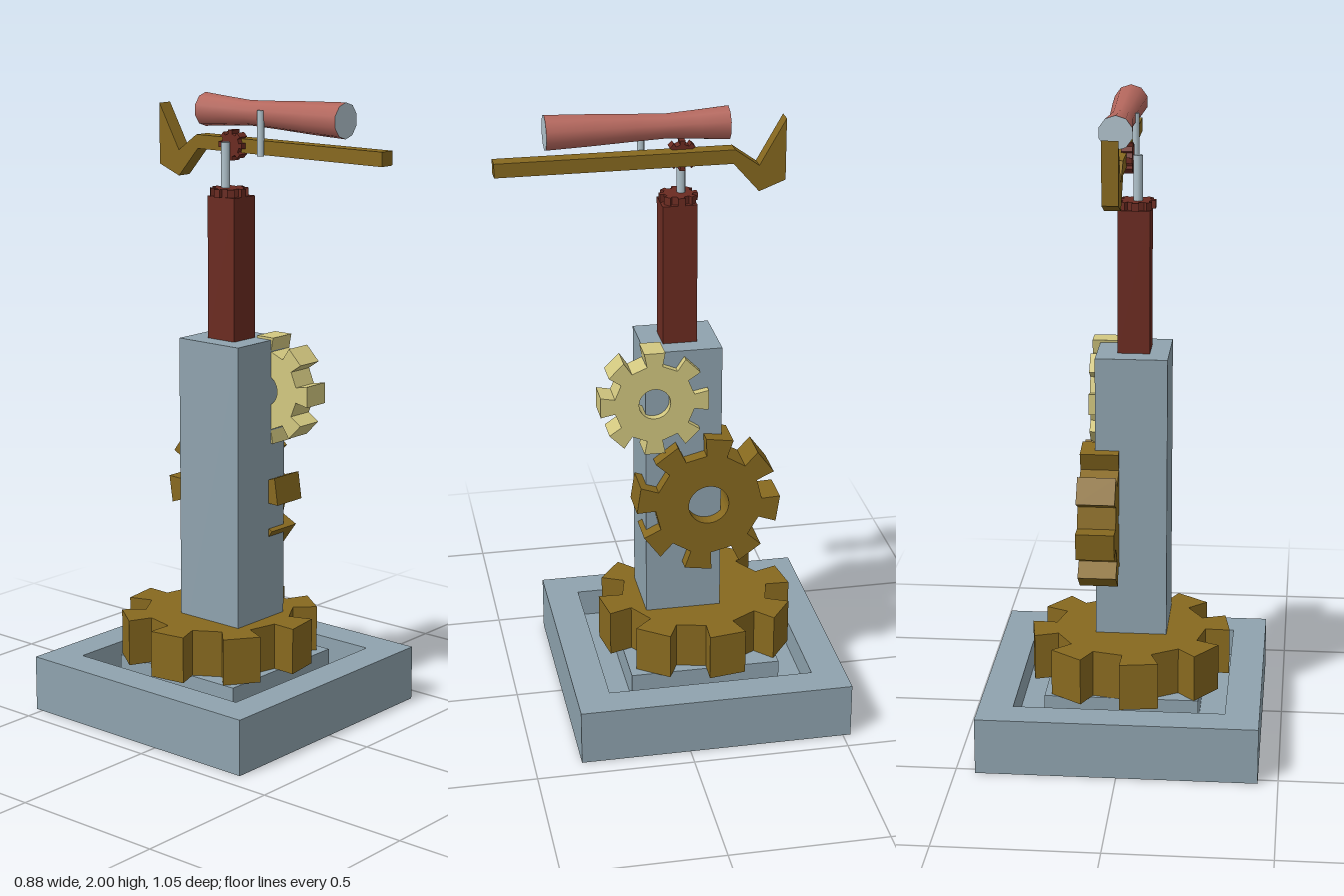
import * as THREE from 'three';

export function createModel() {
  const group = new THREE.Group();
  const material = (name, color) => {
    const m = new THREE.MeshStandardMaterial({ color });
    m.name = name;
    return m;
  };
  const steel = material('blue grey steel', 0x8fa3ae);
  const lensGrey = material('pale grey', 0xb2c4cd);
  const gold = material('dark gold', 0x87691f);
  const brass = material('pale brass', 0xd3c880);
  const rust = material('dark red', 0x6b2b21);
  const rose = material('dusty red', 0xb4675d);

  const add = (name, geometry, mat, x = 0, y = 0, z = 0) => {
    const mesh = new THREE.Mesh(geometry, mat);
    mesh.name = name;
    mesh.position.set(x, y, z);
    group.add(mesh);
    return mesh;
  };
  // Box given by its two opposite corners
  const box = (name, mat, [x0, y0, z0], [x1, y1, z1]) =>
    add(name, new THREE.BoxGeometry(x1 - x0, y1 - y0, z1 - z0), mat,
      (x0 + x1) / 2, (y0 + y1) / 2, (z0 + z1) / 2);
  const extrude = (shape, depth) =>
    new THREE.ExtrudeGeometry(shape, { depth, bevelEnabled: false, curveSegments: 16 });

  // Eight-toothed wheel with radial tooth sides
  function gear(radius, root, hole, depth, phaseDegrees) {
    const points = [];
    const half = THREE.MathUtils.degToRad(11);
    for (let i = 0; i < 8; i++) {
      const a = THREE.MathUtils.degToRad(phaseDegrees) + i * Math.PI / 4;
      for (const [r, t] of [[root, -half], [radius, -half], [radius, half], [root, half]]) {
        points.push(new THREE.Vector2(r * Math.cos(a + t), r * Math.sin(a + t)));
      }
    }
    const shape = new THREE.Shape(points);
    if (hole) shape.holes.push(new THREE.Path().absarc(0, 0, hole, 0, Math.PI * 2, true));
    return extrude(shape, depth);
  }
  const flatGear = (...args) => gear(...args).rotateX(-Math.PI / 2);
  const sideGear = (...args) => gear(...args).rotateY(Math.PI / 2);

  // Base: square slab with a square groove around a centre platform
  const square = (h) => [[-h, -h], [h, -h], [h, h], [-h, h]].map(([x, y]) => new THREE.Vector2(x, y));
  const cz = -0.0875;
  box('baseSlab', steel, [-0.4375, 0, cz - 0.4375], [0.4375, 0.09, cz + 0.4375]);
  const rim = new THREE.Shape(square(0.4375));
  rim.holes.push(new THREE.Path(square(0.33)));
  add('baseRim', extrude(rim, 0.09).rotateX(-Math.PI / 2), steel, 0, 0.09, cz);
  box('basePlatform', steel, [-0.242, 0.09, cz - 0.242], [0.242, 0.18, cz + 0.242]);

  // Turning wheel, column and the two wheels on its side
  add('turntableGear', flatGear(0.318, 0.24, 0, 0.15, 98.9), gold, -0.0125, 0.181, -0.1);
  box('column', steel, [-0.13, 0.18, -0.163], [0.095, 1.24, 0.08]);
  add('largeSideGear', sideGear(0.232, 0.172, 0.065, 0.12, 81.5), gold, 0.02, 0.72, -0.115);
  add('smallSideGear', sideGear(0.174, 0.128, 0.05, 0.09, 90), brass, 0.03, 1.077, 0.055);

  // Upper mast with its collar and post
  box('mast', rust, [-0.07, 1.24, -0.095], [0.03, 1.69, 0.013]);
  add('mastCollar', flatGear(0.06, 0.046, 0, 0.025, 0), rust, -0.025, 1.69, -0.045);
  add('post', new THREE.CylinderGeometry(0.014, 0.014, 0.145, 8), lensGrey, -0.03, 1.783, -0.055);
  add('pivotGear', sideGear(0.048, 0.036, 0, 0.035, 90), rust, -0.015, 1.845, -0.05);

  // Aiming bar with a hooked rear end
  const outline = [[-0.525, 1.822], [0.2, 1.822], [0.28, 1.73], [0.362, 1.762],
    [0.362, 1.955], [0.28, 1.812], [0.205, 1.866], [-0.525, 1.866]];
  const bar = new THREE.Shape(outline.map(([x, y]) => new THREE.Vector2(x, y)));
  add('aimingBar', extrude(bar, 0.05).rotateY(Math.PI / 2), gold, 0.003, 0, 0);

  // Waisted sighting tube, pale at both ends, with its bracket
  const tubeProfile = [[0.053, -0.187], [0.046, -0.1], [0.039, 0], [0.043, 0.1], [0.05, 0.24], [0.055, 0.37]];
  const tube = new THREE.LatheGeometry(tubeProfile.map(([r, z]) => new THREE.Vector2(r, z)), 10);
  add('sightTube', tube.rotateX(Math.PI / 2), rose, 0.027, 1.945, 0);
  for (const [r, z, turn] of [[0.055, 0.37, 0], [0.053, -0.187, Math.PI]]) {
    // Ring of corners matches the tube's
    const lens = new THREE.CircleGeometry(r, 10, Math.PI / 2);
    add(turn ? 'rearLens' : 'frontLens', lens, lensGrey, 0.027, 1.945, z).rotation.x = turn;
    if (turn) lens.rotateZ(Math.PI);
  }
  add('tubeBracket', new THREE.CylinderGeometry(0.011, 0.011, 0.14, 8), lensGrey, -0.013, 1.89, 0.072);

  return group;
}
